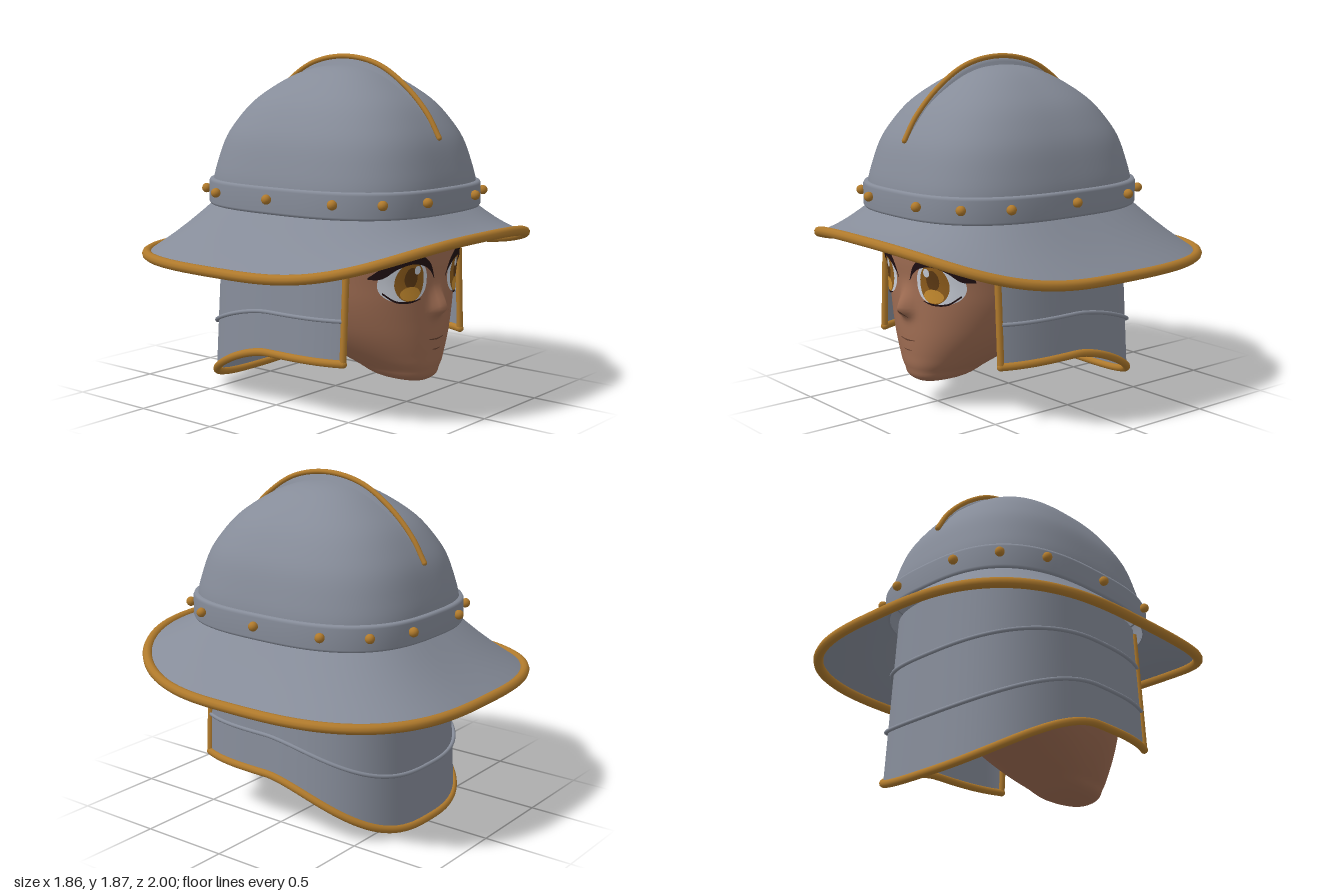
import * as THREE from 'three';

const V = (x, y, z) => new THREE.Vector3(x, y, z);
const lerp = THREE.MathUtils.lerp;
const mat = (name, color, side = THREE.FrontSide) => {
  const m = new THREE.MeshStandardMaterial({ color, side });
  m.name = name;
  return m;
};

// Superellipse point; t = 0 faces +z and runs toward +x
function oval(t, a, b, n, cz, y) {
  const p = v => Math.sign(v) * Math.abs(v) ** (2 / n);
  return V(a * p(Math.sin(t)), y, cz + b * p(Math.cos(t)));
}

// Surface through rows of points, listed from bottom to top
function loft(rows, closed = true) {
  const n = rows[0].length, idx = [];
  for (let i = 0; i < rows.length - 1; i++) {
    for (let j = 0; j < (closed ? n : n - 1); j++) {
      const k = (j + 1) % n, a = i * n, b = a + n;
      idx.push(a + j, a + k, b + k, a + j, b + k, b + j);
    }
  }
  const g = new THREE.BufferGeometry().setFromPoints(rows.flat());
  g.setIndex(idx);
  g.computeVertexNormals();
  return g;
}
const ring = (f, n = 96) => Array.from({ length: n }, (_, i) => f(i / n * Math.PI * 2));
const tube = (pts, r, closed = false) =>
  new THREE.TubeGeometry(new THREE.CatmullRomCurve3(pts, closed), pts.length * 2, r, 10, closed);

// Head sections: half width, front z, middle z, back z at each height
const heights = [0.135, 0.15, 0.22, 0.3, 0.4, 0.5, 0.6, 0.7, 0.8, 0.95, 1.1];
const sections = new THREE.CubicInterpolant(new Float32Array(heights), new Float32Array([
  0.03, 0.58, 0.5, 0.43,
  0.1, 0.63, 0.48, 0.37,
  0.19, 0.675, 0.4, 0.2,
  0.27, 0.685, 0.32, 0.04,
  0.345, 0.69, 0.26, -0.15,
  0.395, 0.69, 0.23, -0.28,
  0.43, 0.69, 0.21, -0.36,
  0.45, 0.69, 0.2, -0.42,
  0.462, 0.7, 0.2, -0.45,
  0.47, 0.7, 0.2, -0.46,
  0.46, 0.68, 0.2, -0.45,
]), 4);
const nose = (x, y) => 0.07 * Math.exp(-((x / 0.045) ** 2) - ((y - 0.55) / (y > 0.55 ? 0.09 : 0.04)) ** 2);
function faceZ(x, y) {
  const [w, front, mid] = sections.evaluate(y);
  const u = Math.min(1, Math.abs(x) / w);
  return mid + (front - mid) * (1 - u ** 2.3) ** (1 / 2.3) + nose(x, y);
}

// Thin oval painted onto the face
function facePatch(cx, cy, rx, ry, lift, n = 2) {
  const g = new THREE.RingGeometry(0.001, 1, 36, 5);
  const p = g.attributes.position;
  for (let i = 0; i < p.count; i++) {
    const r = Math.hypot(p.getX(i), p.getY(i)), t = Math.atan2(p.getX(i), p.getY(i));
    const o = oval(t, rx * r, ry * r, n, 0, 0);
    const x = cx + o.x, y = cy + o.z;
    p.setXYZ(i, x, y, faceZ(x, y) + lift);
  }
  g.computeVertexNormals();
  return g;
}

// Tapered line painted onto the face; points are x, y, half thickness
function faceLine(points, lift) {
  const mid = new THREE.CatmullRomCurve3(points.map(p => V(...p))).getPoints(28);
  return loft([-1, 0, 1].map(s => mid.map(p => {
    const y = p.y + s * p.z;
    return V(p.x, y, faceZ(p.x, y) + lift);
  })), false);
}

export function createModel() {
  const model = new THREE.Group();
  const D = THREE.DoubleSide;
  const steel = mat('steel', 0x868c99, D), brass = mat('brass', 0xb07a2c);
  const skin = mat('skin', 0x9e6c52, D), white = mat('eye white', 0xc9ced8, D);
  const iris = mat('iris brown', 0x8f5d1c, D), glow = mat('iris amber', 0xc98d2f, D);
  const pupil = mat('pupil brown', 0x5e3a14, D), lash = mat('lash black', 0x1f0f12, D);
  const lip = mat('lip line', 0x65402f, D);
  const add = (name, geo, m) => {
    const mesh = new THREE.Mesh(geo, m);
    mesh.name = name;
    model.add(mesh);
    return mesh;
  };

  // Bowl of the helmet, rounder toward the crown
  const bowl = new THREE.CatmullRomCurve3([[1, 1.05], [1, 1.18], [0.96, 1.3], [0.9, 1.42], [0.81, 1.52],
    [0.7, 1.61], [0.55, 1.69], [0.37, 1.76], [0.2, 1.797], [0.002, 1.81]].map(([k, y]) => V(k, y, 0))).getPoints(36);
  add('helmetBowl', loft(bowl.map(p => ring(t =>
    oval(t, 0.595 * p.x, 0.695 * p.x, lerp(2.15, 2.8, p.x), 0.06, p.y)))), steel);

  // Riveted band
  const band = [[0.965, 1.045], [0.99, 1.053], [1, 1.065], [1, 1.175], [0.99, 1.19], [0.95, 1.192]];
  add('band', loft(band.map(([k, y]) => ring(t => oval(t, 0.618 * k, 0.718 * k, 2.8, 0.06, y)))), steel);
  for (const [x, z] of [[0.215, 0.72], [0.45, 0.615], [0.59, 0.405], [0.632, 0]]) {
    for (const sx of [-1, 1]) for (const sz of z ? [-1, 1] : [1]) {
      add('rivet', new THREE.SphereGeometry(0.026, 14, 10), brass).position.set(sx * x, 1.13, 0.06 + sz * z);
    }
  }

  // Brim, raised at the front, with its brass edge
  const rim = t => {
    const p = oval(t, 0.905, 0.972, 2.9, 0, 0);
    p.y = 0.775 + 0.175 * (Math.max(0, p.z) / 0.972) ** 3;
    return p;
  };
  const brimRow = f => ring(t => {
    const p = rim(t).lerp(oval(t, 0.595, 0.695, 2.8, 0.06, 1.06), f);
    p.y -= 0.012 * Math.sin(f * Math.PI);
    return p;
  });
  add('brim', loft([0, 0.2, 0.4, 0.6, 0.8, 1].map(brimRow)), steel);
  add('brimEdge', tube(ring(rim), 0.027, true), brass);

  // Crest: wedge-shaped ridge and brass strip
  const crest = new THREE.CatmullRomCurve3([[0.635, 1.44], [0.56, 1.56], [0.42, 1.7], [0.23, 1.815], [0, 1.855],
    [-0.23, 1.815], [-0.42, 1.7], [-0.56, 1.56], [-0.635, 1.44]].map(([z, y]) => V(0, y, z + 0.06))).getPoints(40);
  const center = V(0, 1.2, 0.06);
  add('crestRidge', loft([[-0.035, 0.075], [-0.01, 0.03], [0, 0], [0.01, 0.03], [0.035, 0.075]].map(([x, d]) =>
    crest.map((p, i) => {
      const q = p.clone().addScaledVector(center.clone().sub(p).normalize(), d);
      q.x = x * Math.sin(i / 40 * Math.PI);
      return q;
    })), false), steel);
  add('crestStrip', tube(crest, 0.014), brass);
  for (const end of [crest[0], crest[40]]) {
    add('crestTip', new THREE.SphereGeometry(0.014, 10, 8), brass).position.copy(end);
  }

  // Neck and cheek guard: a sheet from cheek to cheek around the back
  const guardPoint = (u, y) => {
    const s = 1 - 0.07 * y, b = 0.69 * s;
    const t0 = Math.acos((0.425 / b) ** 1.4);
    return oval(lerp(t0, Math.PI * 2 - t0, u), 0.605 * s, b, 2.8, 0.06, y);
  };
  const drop = u => (Math.max(0, -guardPoint(u, 0).z) / 0.63) ** 1.6;
  const us = Array.from({ length: 73 }, (_, i) => i / 72);
  const bottom = u => 0.31 - 0.288 * drop(u);
  add('neckGuard', loft([0, 0.25, 0.5, 0.75, 1].map(v =>
    us.map(u => guardPoint(u, lerp(bottom(u), 1.03, v)))), false), steel);
  add('neckGuardEdge', tube(us.map(u => guardPoint(u, bottom(u))), 0.021), brass);
  for (const u of [0, 1]) {
    add('cheekEdge', tube([0.31, 0.55, 0.8, 1].map(y => guardPoint(u, y)), 0.018), brass);
    add('cheekCorner', new THREE.SphereGeometry(0.021, 12, 8), brass).position.copy(guardPoint(u, 0.31));
  }
  for (const [y, d] of [[0.53, 0.2], [0.79, 0.105]]) {
    add('guardRib', tube(us.map(u => {
      const p = guardPoint(u, y - d * drop(u));
      p.x *= 1.015;
      p.z -= 0.008;
      return p;
    }), 0.011), steel);
  }

  // Head
  const headRows = [];
  for (let i = 0; i <= 56; i++) {
    const y = lerp(0.135, 1.1, (i / 56) ** 1.3);
    const [w, front, mid, back] = sections.evaluate(y);
    headRows.push(ring(t => {
      const ahead = Math.cos(t) > 0;
      const p = oval(t, w, ahead ? front - mid : mid - back, 2.3, mid, y);
      if (ahead) p.z += nose(p.x, y);
      return p;
    }, 128));
  }
  headRows.unshift(ring(() => V(0, 0.134, 0.5), 128));
  add('head', loft(headRows), skin);

  // Eyes and ears, mirrored
  for (const s of [-1, 1]) {
    const ear = add('ear', new THREE.SphereGeometry(1, 18, 12), skin);
    ear.scale.set(0.035, 0.11, 0.06);
    ear.position.set(s * 0.455, 0.65, 0.1);
    add('eyeWhite', facePatch(s * 0.218, 0.71, 0.125, 0.108, 0.006, 2.3), white);
    add('iris', facePatch(s * 0.2, 0.71, 0.08, 0.106, 0.010), iris);
    add('pupil', facePatch(s * 0.2, 0.73, 0.036, 0.055, 0.013), pupil);
    add('irisGlow', facePatch(s * 0.2, 0.647, 0.054, 0.037, 0.014), glow);
    add('eyeGlint', facePatch(s * 0.172, 0.77, 0.018, 0.023, 0.017), white);
    add('upperLash', faceLine([[0.05, 0.715, 0.004], [0.085, 0.775, 0.018], [0.14, 0.815, 0.024], [0.21, 0.828, 0.025],
      [0.28, 0.81, 0.03], [0.335, 0.765, 0.032], [0.38, 0.735, 0.006]].map(([x, y, w]) => [s * x, y, w]), 0.018), lash);
    add('lowerLash', faceLine([[0.14, 0.615, 0.002], [0.2, 0.602, 0.005], [0.27, 0.61, 0.005],
      [0.325, 0.655, 0.005]].map(([x, y, w]) => [s * x, y, w]), 0.012), lash);
  }

  // Mouth and nose marks
  add('mouth', faceLine([[-0.06, 0.385, 0.002], [0, 0.38, 0.004], [0.06, 0.385, 0.002]], 0.005), lip);
  add('lowerLip', faceLine([[-0.035, 0.328, 0.001], [0, 0.325, 0.003], [0.035, 0.328, 0.001]], 0.005), lip);
  add('noseMark', faceLine([[0.012, 0.55, 0.006], [0.022, 0.53, 0.01], [0.03, 0.51, 0.004]], 0.006), lip);
  return model;
}
